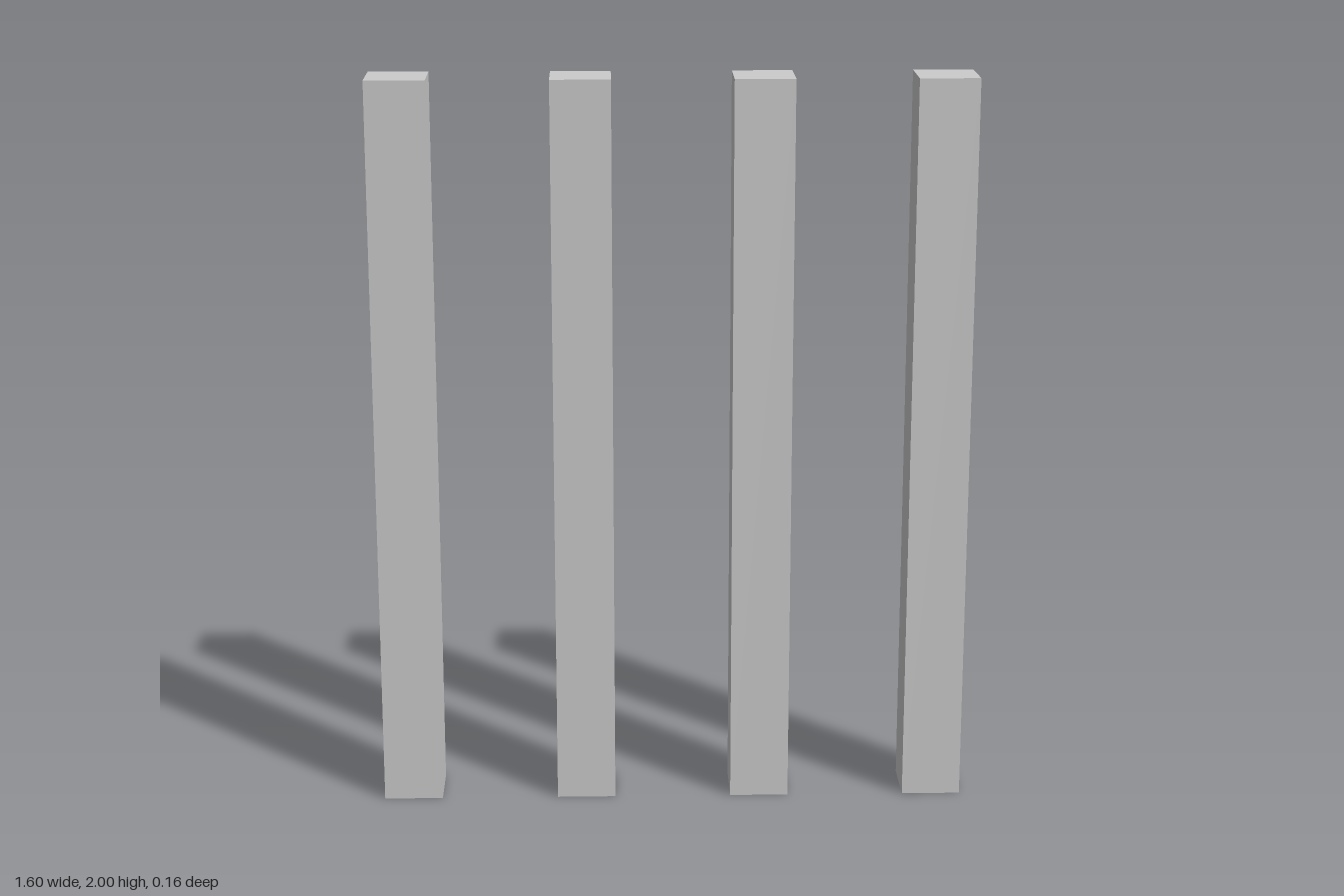
import * as THREE from 'three';

const HEIGHT = 2;
const WIDTH = 0.16;
const SPACING = 0.48;
const COUNT = 4;

export function createModel() {
  const model = new THREE.Group();
  model.name = 'postRow';

  const material = new THREE.MeshStandardMaterial({ color: 0xcccccc, flatShading: true });
  const geometry = new THREE.BoxGeometry(WIDTH, HEIGHT, WIDTH);

  // Evenly spaced square posts, centred on x = 0
  for (let i = 0; i < COUNT; i++) {
    const post = new THREE.Mesh(geometry, material);
    post.name = `post${i + 1}`;
    post.position.set((i - (COUNT - 1) / 2) * SPACING, HEIGHT / 2, 0);
    model.add(post);
  }
  return model;
}
